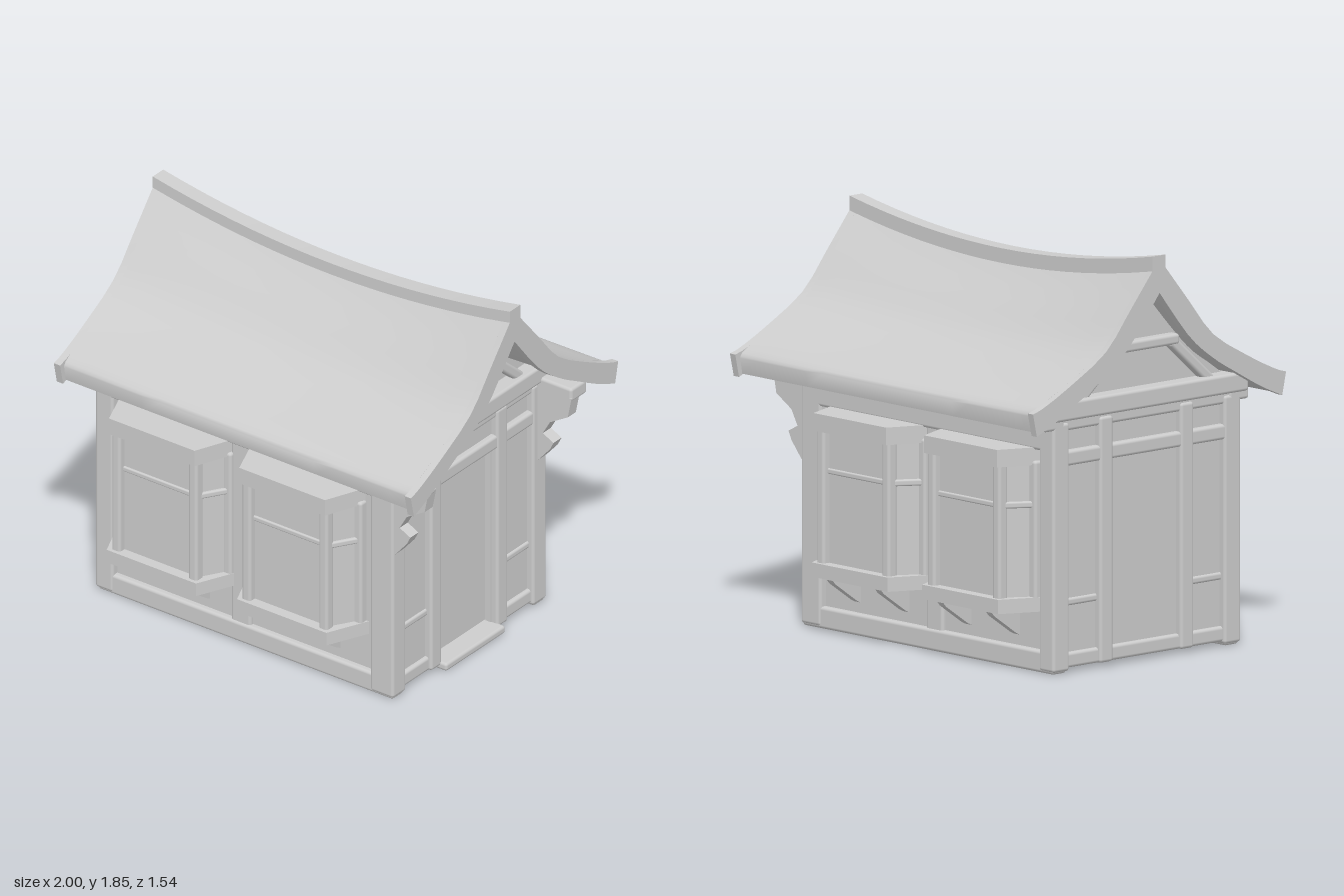
import * as THREE from 'three';
import { toCreasedNormals } from 'three/addons/utils/BufferGeometryUtils.js';
import { RoundedBoxGeometry } from 'three/addons/geometries/RoundedBoxGeometry.js';

const V2 = (x, y) => new THREE.Vector2(x, y);

export function createModel() {
  const clay = new THREE.MeshStandardMaterial({ color: 0xcccccc, side: THREE.DoubleSide });
  clay.name = 'clay grey';
  const house = new THREE.Group();
  house.name = 'house';

  const add = (name, geo, parent = house) => {
    const m = new THREE.Mesh(geo, clay);
    m.name = name;
    parent.add(m);
    return m;
  };
  // Softened box from its limits on each axis
  const box = (name, x0, x1, y0, y1, z0, z1, parent) => {
    const w = Math.abs(x1 - x0), h = y1 - y0, d = Math.abs(z1 - z0);
    const r = Math.min(0.015, Math.min(w, h, d) * 0.35);
    const m = add(name, new RoundedBoxGeometry(w, h, d, 2, r), parent);
    m.position.set((x0 + x1) / 2, (y0 + y1) / 2, (z0 + z1) / 2);
    return m;
  };
  // Softened bar between two points
  const bar = (name, a, b, w, h, parent) => {
    const A = new THREE.Vector3(...a), B = new THREE.Vector3(...b);
    const r = Math.min(w, h) * 0.3;
    const m = add(name, new RoundedBoxGeometry(w, h, A.distanceTo(B), 2, r), parent);
    m.position.copy(A).add(B).multiplyScalar(0.5);
    m.lookAt(B);
    return m;
  };
  // Prism of a (z, y) outline running from x0 to x1
  const prismX = (pts, x0, x1, steps = 1) => {
    const shape = new THREE.Shape(pts.map(([z, y]) => V2(-z, y)));
    return new THREE.ExtrudeGeometry(shape, { depth: x1 - x0, bevelEnabled: false, steps })
      .rotateY(Math.PI / 2).translate(x0, 0, 0);
  };
  // Upright slab of an (x, z) outline
  const slab = (name, pts, y0, y1, parent) => {
    const shape = new THREE.Shape(pts.map(([x, z]) => V2(x, -z)));
    const geo = new THREE.ExtrudeGeometry(shape, { depth: y1 - y0, bevelEnabled: false });
    return add(name, geo.rotateX(-Math.PI / 2).translate(0, y0, 0), parent);
  };
  const rectHole = (x0, x1, y0, y1) => new THREE.Path([V2(x0, y0), V2(x0, y1), V2(x1, y1), V2(x1, y0)]);

  // Roof: curved gable profile, with a ridge that sags in the middle
  const curve = (pts) => new THREE.SplineCurve(pts.map(p => V2(...p))).getPoints(16).map(p => [p.x, p.y]);
  const mirrorZ = (half) => half.slice().reverse().map(([z, y]) => [-z, y]);
  const outline = (top, low) => {
    const t = curve(top), l = curve(low);
    return [...t, ...mirrorZ(t).slice(1), ...mirrorZ(l).reverse(), ...l.slice().reverse().slice(1)];
  };
  const sag = (geo) => {
    const p = geo.attributes.position;
    for (let i = 0; i < p.count; i++) {
      const x = p.getX(i), y = p.getY(i);
      const k = THREE.MathUtils.clamp((y - 1.2) / 0.55, 0, 1);
      p.setY(i, y - 0.1 * (1 - x * x) * k);
    }
    return toCreasedNormals(geo, 0.9);
  };
  const upperCurve = [[0.54, 1.335], [0.327, 1.46], [0.18, 1.63], [0.05, 1.785], [0, 1.845]];
  const roofTop = [[0.738, 1.215], [0.71, 1.25], ...upperCurve];
  const roofLow = [[0.725, 1.142], [0.52, 1.25], [0.33, 1.37], [0.18, 1.52], [0, 1.73]];
  add('roof', sag(prismX(outline(roofTop, roofLow), -0.965, 0.965, 18)));
  // Gable end boards, flush with the roof and flicked out at the eaves
  const bargeTop = [[0.768, 1.235], [0.7, 1.257], ...upperCurve];
  const bargeLow = [[0.745, 1.13], [0.62, 1.185], [0.475, 1.265], [0.33, 1.35], [0.18, 1.47], [0, 1.69]];
  for (const x of [-1, 0.965]) add('bargeBoard', sag(prismX(outline(bargeTop, bargeLow), x, x + 0.035)));
  add('ridgeBeam', sag(prismX([[0.035, 1.74], [0.035, 1.86], [-0.043, 1.86], [-0.043, 1.74]], -1, 1, 18)));

  // Long walls with two bay windows each
  const bays = [-0.48, 0.25];
  for (const s of [1, -1]) {
    const side = new THREE.Group();
    side.name = s > 0 ? 'frontWall' : 'backWall';
    house.add(side);
    const b = (name, x0, x1, y0, y1, z0, z1) => box(name, x0, x1, y0, y1, s * z0, s * z1, side);

    const wall = new THREE.Shape([V2(-0.88, 0.03), V2(0.71, 0.03), V2(0.71, 1.15), V2(-0.88, 1.15)]);
    for (const cx of bays) wall.holes.push(rectHole(cx - 0.26, cx + 0.26, 0.35, 0.95));
    add('wallPanel', new THREE.ExtrudeGeometry(wall, { depth: 0.03, bevelEnabled: false })
      .translate(0, 0, s > 0 ? 0.505 : -0.535), side);

    b('cornerPost', -0.92, -0.82, 0.02, 1.15, 0.47, 0.57);
    b('cornerPost', 0.62, 0.75, 0.02, 1.15, 0.47, 0.57);
    b('baseRail', -0.91, 0.745, 0.01, 0.11, 0.48, 0.565);
    b('topRail', -0.9, 0.745, 1.02, 1.15, 0.48, 0.57);
    b('middlePost', -0.17, -0.06, 0.08, 1.05, 0.49, 0.555);
    b('wallPlate', -0.92, 0.94, 1.12, 1.19, 0.5, 0.62);

    for (const cx of bays) {
      const bay = new THREE.Group();
      bay.name = 'bayWindow';
      side.add(bay);
      const trapezoid = (front, back, z) => [[cx - back, s * 0.51], [cx - front, s * z], [cx + front, s * z], [cx + back, s * 0.51]];
      slab('bayHeader', trapezoid(0.24, 0.33, 0.73), 0.95, 1.03, bay);
      slab('baySill', trapezoid(0.25, 0.35, 0.733), 0.285, 0.35, bay);
      box('windowPane', cx - 0.22, cx + 0.22, 0.34, 0.96, s * 0.665, s * 0.68, bay);
      box('transom', cx - 0.2, cx + 0.2, 0.755, 0.78, s * 0.67, s * 0.69, bay);
      for (const e of [-1, 1]) {
        const fx = cx + e * 0.215, wx = cx + e * 0.3;
        box('frontPost', fx - 0.025, fx + 0.025, 0.33, 0.97, s * 0.66, s * 0.715, bay);
        box('wallPost', wx - 0.025, wx + 0.025, 0.33, 0.97, s * 0.52, s * 0.575, bay);
        bar('sidePane', [fx, 0.65, s * 0.68], [wx, 0.65, s * 0.54], 0.015, 0.62, bay);
        bar('sideTransom', [fx, 0.77, s * 0.685], [wx, 0.77, s * 0.55], 0.035, 0.03, bay);
        const px = cx + e * 0.16;
        add('sillBracket', prismX([[s * 0.52, 0.29], [s * 0.715, 0.29], [s * 0.69, 0.26], [s * 0.56, 0.17], [s * 0.52, 0.15]], px - 0.02, px + 0.02), bay);
      }
    }

    // Carved corbel carrying the wide overhang
    const corbel = new THREE.Shape([[0.72, 0.73], [0.76, 0.77], [0.82, 0.84], [0.84, 0.88], [0.78, 0.91],
      [0.82, 0.98], [0.92, 1.04], [0.94, 1.14], [0.72, 1.14]].map(p => V2(...p)));
    add('corbel', new THREE.ExtrudeGeometry(corbel, { depth: 0.06, bevelEnabled: false })
      .translate(0, 0, s > 0 ? 0.5 : -0.56), side);
  }

  // End walls: e gives the outward direction, x the outer face of the posts
  for (const { e, x, name } of [{ e: 1, x: 0.75, name: 'doorWall' }, { e: -1, x: -0.92, name: 'plainEndWall' }]) {
    const end = new THREE.Group();
    end.name = name;
    house.add(end);
    const b = (n, d0, d1, y0, y1, z0, z1) => box(n, x - e * d0, x - e * d1, y0, y1, z0, z1, end);

    const wall = new THREE.Shape([V2(-0.53, 0.03), V2(0.53, 0.03), V2(0.53, 1.17), V2(-0.53, 1.17)]);
    if (e > 0) wall.holes.push(rectHole(-0.2, 0.2, 0.05, 0.95));
    add('wallPanel', new THREE.ExtrudeGeometry(wall, { depth: 0.03, bevelEnabled: false })
      .rotateY(Math.PI / 2).translate(e > 0 ? x - 0.065 : x + 0.035, 0, 0), end);

    for (const s of [-1, 1]) {
      b('outerPost', 0, 0.09, 0.02, 1.15, s * 0.485, s * 0.565);
      b('innerPost', 0, 0.1, 0.03, 1.15, s * 0.205, s * 0.285);
      b('lowRail', 0.015, 0.07, 0.03, 0.1, s * 0.25, s * 0.53);
      b('middleRail', 0.025, 0.07, 0.31, 0.345, s * 0.25, s * 0.53);
      // Gable truss struts
      bar('trussStrut', [x - e * 0.03, 1.23, s * 0.4], [x - e * 0.03, 1.44, s * 0.16], 0.05, 0.05, end);
    }
    b('headRail', 0.005, 0.08, 0.95, 1.02, -0.55, 0.55);
    b('upperRail', 0.01, 0.08, 1.11, 1.17, -0.56, 0.56);
    b('tieBeam', -0.02, 0.1, 1.16, 1.25, -0.6, 0.6);
    b('collarBeam', 0, 0.06, 1.42, 1.47, -0.2, 0.2);
    if (e > 0) {
      b('door', 0.07, 0.1, 0.04, 0.96, -0.22, 0.22);
      b('threshold', -0.035, 0.1, 0.01, 0.05, -0.22, 0.22);
    } else {
      b('centreBaseRail', 0.015, 0.07, 0.03, 0.1, -0.22, 0.22);
    }

    // Gable infill under the roof curve
    const low = curve([[0.6, 1.18], [0.475, 1.265], [0.33, 1.37], [0.18, 1.51], [0, 1.7]]);
    const g0 = x - e * 0.07;
    add('gableInfill', prismX([[0.6, 1.14], ...low, ...mirrorZ(low).slice(1), [-0.6, 1.14]], g0 - 0.015, g0 + 0.015), end);
  }
  return house;
}
